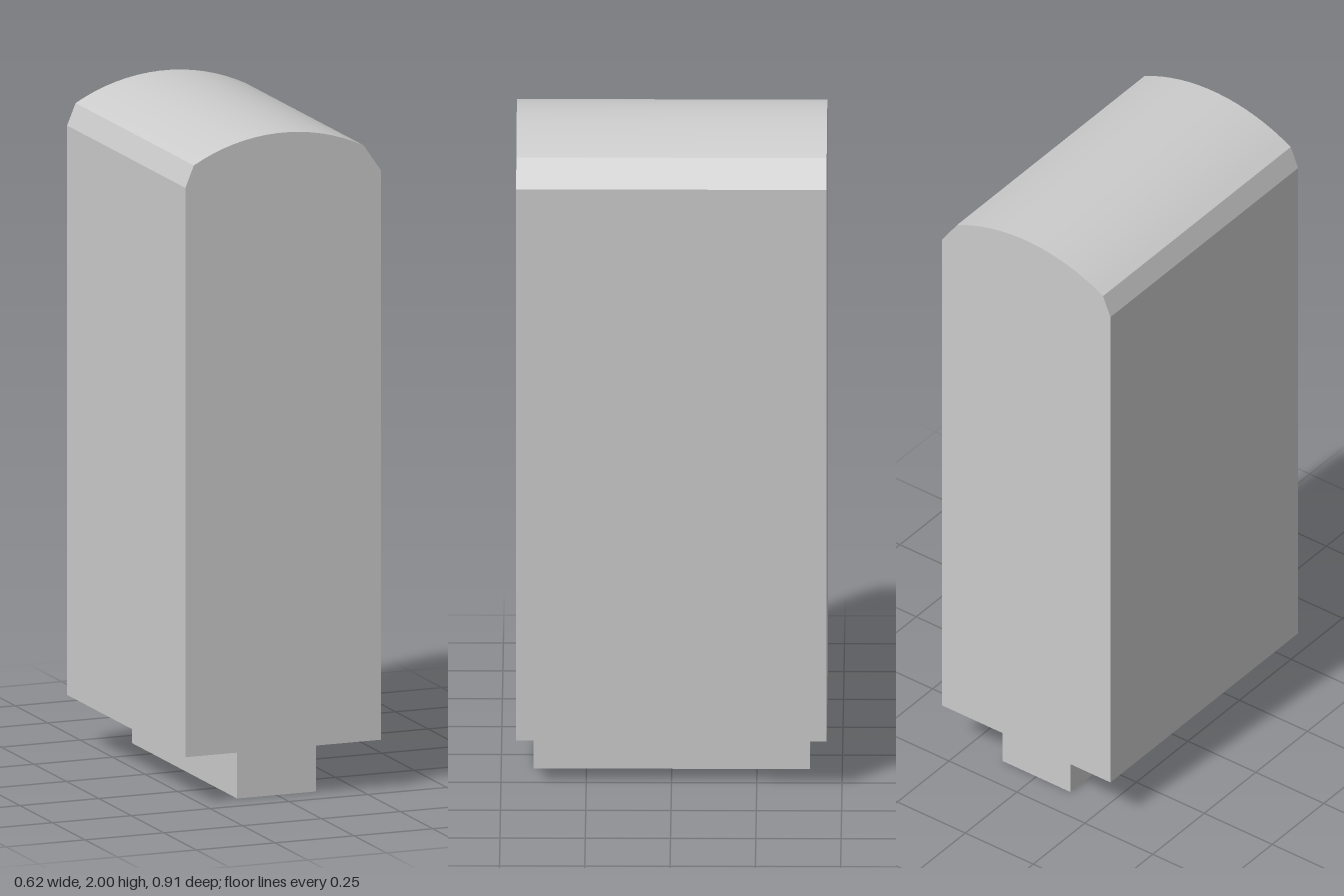
import * as THREE from 'three';
import { toCreasedNormals } from 'three/addons/utils/BufferGeometryUtils.js';

export function createModel() {
  const group = new THREE.Group();
  const material = new THREE.MeshStandardMaterial({ color: 0xcccccc });

  // Body: upright slab with a shallow domed top and uneven shoulder chamfers
  const halfWidth = 0.31, depth = 0.91, bottom = 0.15, shoulder = 1.86;
  const radius = 0.572, leftEnd = 0.255, rightEnd = -0.283, steps = 16;
  const a0 = Math.asin(leftEnd / radius), a1 = Math.asin(rightEnd / radius);
  const profile = new THREE.Shape();
  profile.moveTo(-halfWidth, bottom);
  profile.lineTo(halfWidth, bottom);
  profile.lineTo(halfWidth, shoulder);
  for (let i = 0; i <= steps; i++) {
    const a = a0 + (a1 - a0) * i / steps;
    profile.lineTo(radius * Math.sin(a), 2 - radius + radius * Math.cos(a));
  }
  profile.lineTo(-halfWidth, shoulder);
  profile.closePath();
  const bodyGeometry = new THREE.ExtrudeGeometry(profile, { depth, bevelEnabled: false });
  bodyGeometry.translate(0, 0, -depth / 2);
  const body = new THREE.Mesh(toCreasedNormals(bodyGeometry, 0.3), material);
  body.name = 'body';
  group.add(body);

  // Foot: narrow plinth under the body
  const foot = new THREE.Mesh(new THREE.BoxGeometry(0.25, bottom, 0.81), material);
  foot.position.y = bottom / 2;
  foot.name = 'foot';
  group.add(foot);

  return group;
}
